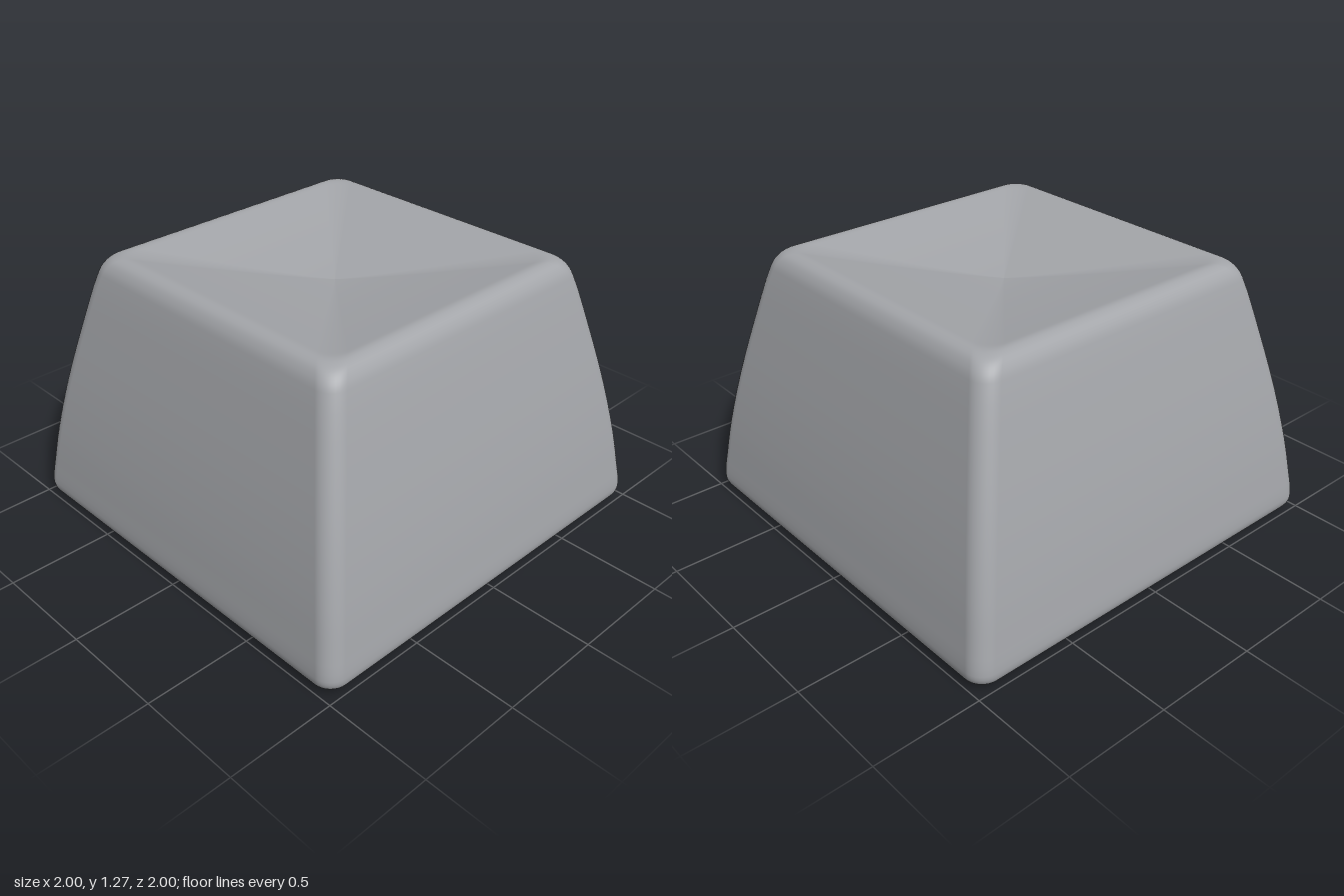
import * as THREE from 'three';

const ARC = 8; // steps per rounded corner

// Rounded square loop at height y, running from +x towards +z
function squareLoop(half, radius, y) {
  const loop = [];
  const c = half - radius;
  for (let k = 0; k < 4; k++) {
    const mid = Math.PI / 4 + k * Math.PI / 2;
    const cx = Math.sign(Math.cos(mid)) * c;
    const cz = Math.sign(Math.sin(mid)) * c;
    for (let i = 0; i <= ARC; i++) {
      const a = (k + i / ARC) * Math.PI / 2;
      loop.push([cx + radius * Math.cos(a), y, cz + radius * Math.sin(a)]);
    }
  }
  return loop;
}

// Joins loops, listed from the underside up and over, into one smooth skin
function skin(loops) {
  const n = loops[0].length;
  const index = [];
  for (let i = 0; i < loops.length - 1; i++) {
    for (let j = 0; j < n; j++) {
      const a = i * n + j, b = i * n + (j + 1) % n;
      index.push(a, a + n, b, b, a + n, b + n);
    }
  }
  const geometry = new THREE.BufferGeometry();
  geometry.setAttribute('position', new THREE.Float32BufferAttribute(loops.flat(2), 3));
  geometry.setIndex(index);
  geometry.computeVertexNormals();
  return geometry;
}

export function createModel() {
  const grey = new THREE.MeshStandardMaterial({ color: 0xa3a5a9 });
  grey.name = 'grey plastic';

  // Half width and height: rounded foot, bowed flank, rounded rim
  const outline = [
    [0.92, 0], [0.95, 0.005], [0.98, 0.024], [0.996, 0.05], [1, 0.085],
    [0.985, 0.2], [0.957, 0.38], [0.905, 0.64], [0.835, 0.93], [0.765, 1.19],
    [0.748, 1.227], [0.724, 1.255], [0.695, 1.268], [0.67, 1.27], [0.64, 1.265],
  ];
  const curve = new THREE.CatmullRomCurve3(
    outline.map(([h, y]) => new THREE.Vector3(h, y, 0)), false, 'centripetal');

  // Flat underside
  const loops = [squareLoop(0, 0, 0), squareLoop(0.6, 0.06, 0)];
  // Outer walls
  const steps = (outline.length - 1) * 3;
  for (let i = 0; i <= steps; i++) {
    const p = curve.getPoint(i / steps);
    loops.push(squareLoop(p.x, 0.085, Math.max(0, p.y)));
  }
  // Shallow dished top, sinking to the centre
  const rings = 12;
  for (let i = 1; i <= rings; i++) {
    const m = 1 - i / rings;
    loops.push(squareLoop(0.64 * m, 0.085 * m, 1.265 - 0.11 * (1 - Math.pow(m, 1.2))));
  }

  const cap = new THREE.Mesh(skin(loops), grey);
  cap.name = 'keycap';

  const group = new THREE.Group();
  group.name = 'keycapModel';
  group.add(cap);
  return group;
}
